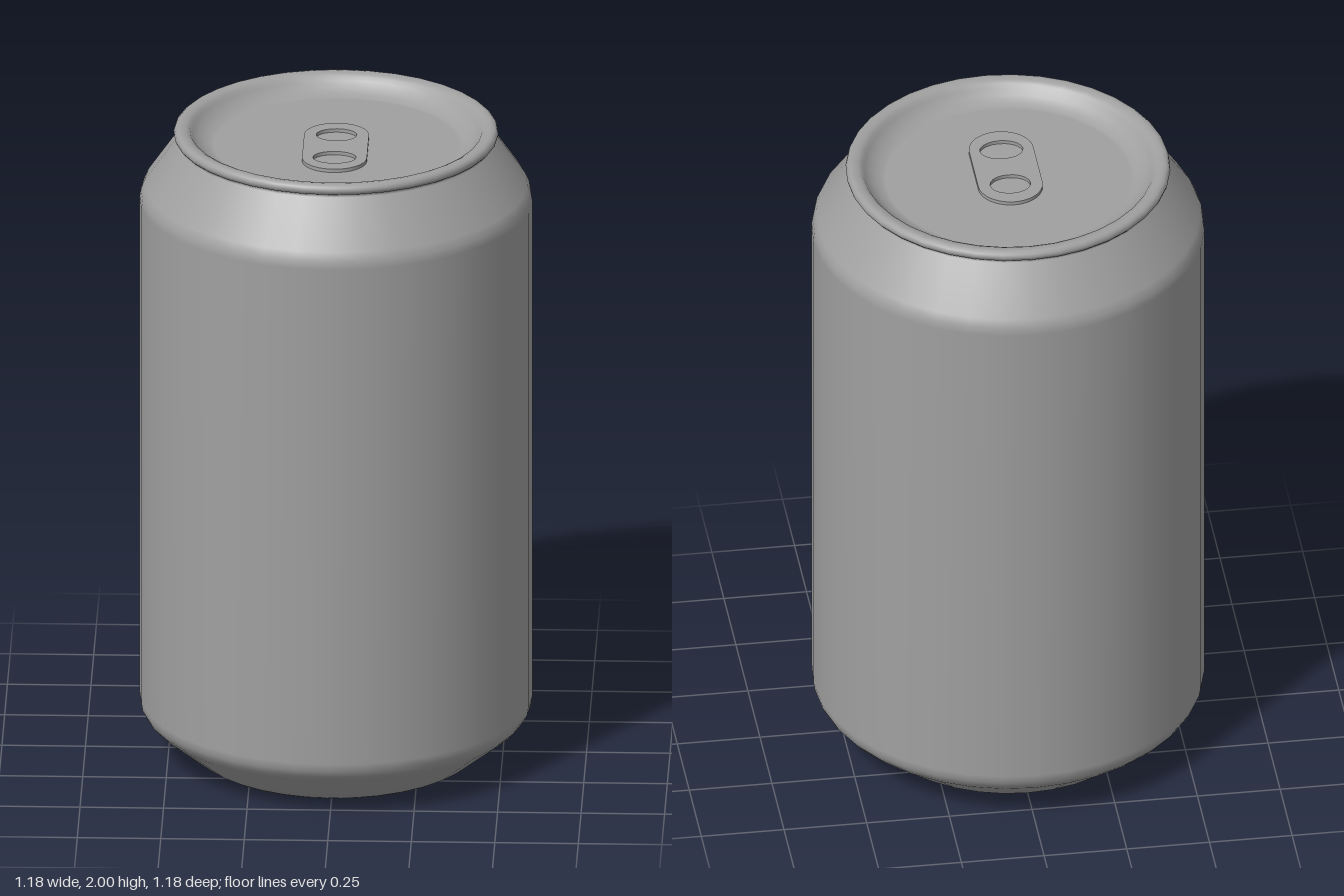
import * as THREE from 'three';
import { toCreasedNormals } from 'three/addons/utils/BufferGeometryUtils.js';

const SEGMENTS = 36;
const LID_Y = 1.945;
const material = new THREE.MeshStandardMaterial({ color: 0xa0a0a0 });

function lathePart(name, profile) {
  const points = profile.map(([r, y]) => new THREE.Vector2(r, y));
  const mesh = new THREE.Mesh(new THREE.LatheGeometry(points, SEGMENTS), material);
  mesh.name = name;
  return mesh;
}

function ellipseHole(z, rx, rz) {
  const hole = new THREE.Path();
  hole.absellipse(0, -z, rx, rz, 0, Math.PI * 2, true);
  return hole;
}

// Stadium-shaped pull tab with two oval openings, lying on the lid
function createTab() {
  const r = 0.097, back = -0.048, front = 0.138;
  const shape = new THREE.Shape();
  shape.absarc(0, -back, r, 0, Math.PI, false);
  shape.absarc(0, -front, r, Math.PI, Math.PI * 2, false);
  shape.closePath();
  shape.holes.push(ellipseHole(-0.048, 0.061, 0.049), ellipseHole(0.137, 0.065, 0.048));
  const geometry = new THREE.ExtrudeGeometry(shape, {
    depth: 0.011, bevelEnabled: false, curveSegments: 10,
  });
  geometry.rotateX(-Math.PI / 2);
  const mesh = new THREE.Mesh(toCreasedNormals(geometry, 0.7), material);
  mesh.name = 'pullTab';
  mesh.position.y = LID_Y;
  return mesh;
}

export function createModel() {
  const group = new THREE.Group();
  group.name = 'drinkCan';

  // Shallow recessed base with a rounded wall
  group.add(lathePart('baseDome', [
    [0, 0.075], [0.12, 0.073], [0.22, 0.067], [0.29, 0.057],
    [0.33, 0.044], [0.355, 0.028], [0.37, 0.01],
  ]));

  // Foot ring, tapered base, straight wall, sloped shoulder, rolled rim and recessed lid
  group.add(lathePart('body', [
    [0.37, 0.01], [0.38, 0.003], [0.395, 0], [0.41, 0.002], [0.425, 0.01],
    [0.555, 0.115], [0.573, 0.134], [0.584, 0.155], [0.588, 0.18],
    [0.588, 1.77], [0.584, 1.795], [0.573, 1.82],
    [0.487, 1.945], [0.475, 1.959], [0.472, 1.966],
    [0.479, 1.969], [0.484, 1.975], [0.486, 1.983],
    [0.483, 1.992], [0.476, 1.998], [0.465, 2], [0.45, 1.997], [0.438, 1.991],
    [0.431, 1.98], [0.415, 1.964], [0.395, 1.952], [0.377, 1.946],
    [0.368, LID_Y], [0, LID_Y],
  ]));

  group.add(createTab());
  return group;
}
